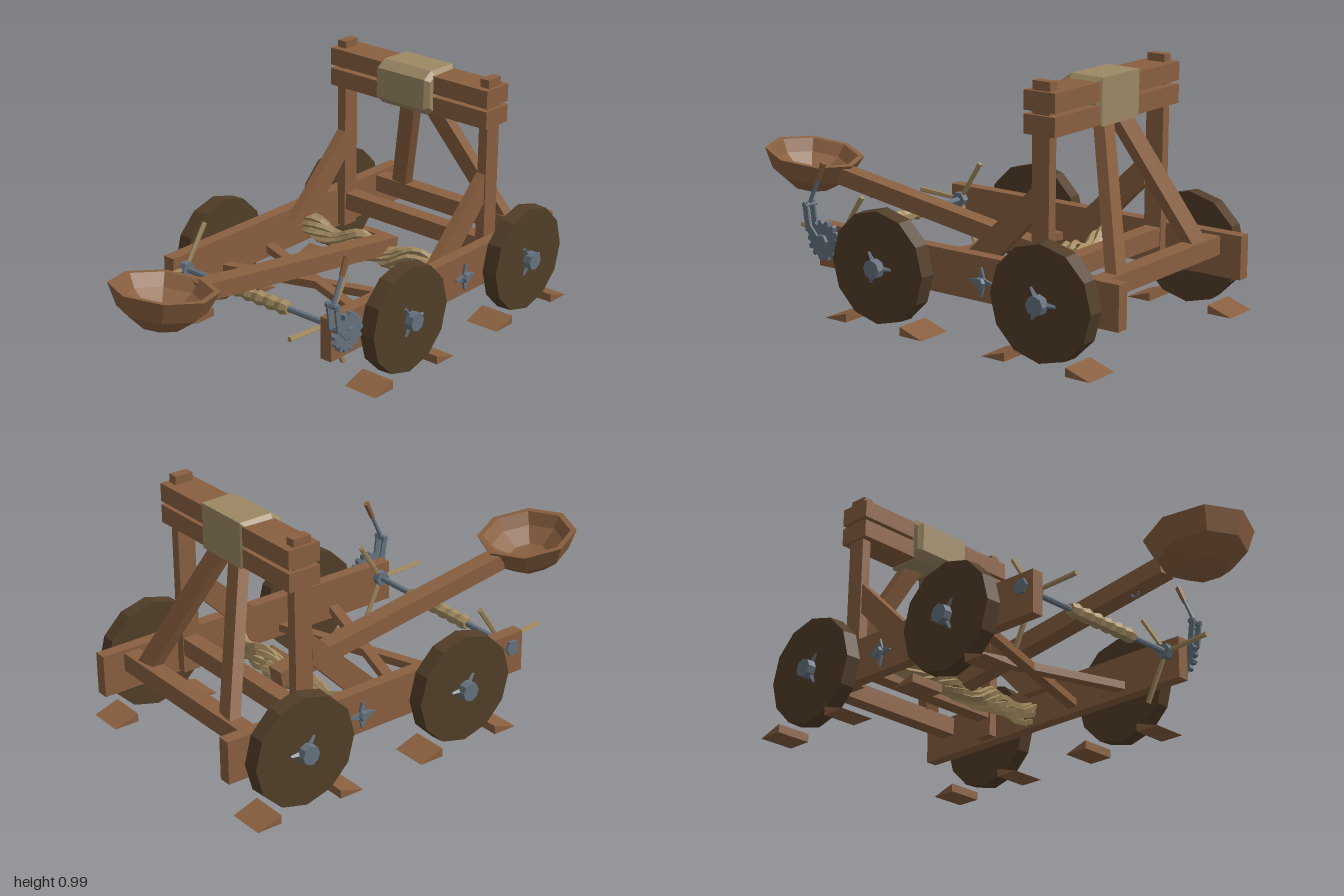
import * as THREE from 'three';

const paint = (name, color) => {
  const m = new THREE.MeshStandardMaterial({ color });
  m.name = name;
  return m;
};

export function createModel() {
  const root = new THREE.Group();
  root.name = 'catapult';
  const wood = paint('timber', 0x8a6040);
  const dark = paint('darkWheelWood', 0x523e29);
  const hide = paint('hidePadding', 0x9c8863);
  const ropeMat = paint('rope', 0xa38b60);
  const iron = paint('iron', 0x667380);
  const V = (x, y, z) => new THREE.Vector3(x, y, z);

  // Faceted mesh helper
  function add(name, geo, mat, parent = root) {
    const g = geo.index ? geo.toNonIndexed() : geo;
    g.computeVertexNormals();
    const mesh = new THREE.Mesh(g, mat);
    mesh.name = name;
    parent.add(mesh);
    return mesh;
  }
  function box(name, mat, x0, x1, y0, y1, z0, z1) {
    const m = add(name, new THREE.BoxGeometry(x1 - x0, y1 - y0, z1 - z0), mat);
    m.position.set((x0 + x1) / 2, (y0 + y1) / 2, (z0 + z1) / 2);
    return m;
  }
  // Square timber running from a to b
  function beam(name, mat, a, b, w, h, up = V(0, 1, 0)) {
    const m = add(name, new THREE.BoxGeometry(w, h, a.distanceTo(b)), mat);
    m.up.copy(up);
    m.position.copy(a).add(b).multiplyScalar(0.5);
    m.lookAt(b);
    return m;
  }
  // Tapered rod from a to b
  function rod(name, mat, a, b, r0, r1, sides = 6) {
    const m = add(name, new THREE.CylinderGeometry(r1, r0, a.distanceTo(b), sides), mat);
    m.position.copy(a).add(b).multiplyScalar(0.5);
    m.quaternion.setFromUnitVectors(V(0, 1, 0), b.clone().sub(a).normalize());
    return m;
  }
  // Side outline given as [z, y], extruded from x0 to x1
  function sidePlate(name, mat, pts, x0, x1, bevel = 0) {
    const shape = new THREE.Shape(pts.map(([z, y]) => new THREE.Vector2(-z, y)));
    const geo = new THREE.ExtrudeGeometry(shape, {
      depth: x1 - x0 - 2 * bevel, bevelEnabled: bevel > 0,
      bevelSize: bevel, bevelThickness: bevel, bevelSegments: 1,
    });
    geo.rotateY(Math.PI / 2);
    geo.translate(x0 + bevel, 0, 0);
    return add(name, geo, mat);
  }
  // Star or gear outline around (z, y)
  function toothed(z, y, teeth, rOut, rIn, tip) {
    const pts = [];
    for (let i = 0; i < teeth; i++) {
      for (const [f, r] of [[-0.5, rIn], [-tip, rOut], [tip, rOut]]) {
        const a = ((i + f) / teeth) * Math.PI * 2;
        pts.push([z + Math.cos(a) * r, y + Math.sin(a) * r]);
      }
    }
    return pts;
  }

  for (const s of [-1, 1]) {
    const side = s > 0 ? 'left' : 'right';
    const span = (a, b) => (s > 0 ? [a, b] : [-b, -a]);

    // Frame rail, upright and its sloping strut
    box(side + 'Rail', wood, ...span(0.382, 0.433), 0.16, 0.33, -1, 0.38);
    box(side + 'Upright', wood, ...span(0.345, 0.386), 0.17, 0.988, -0.668, -0.593);
    sidePlate(side + 'Strut', wood,
      [[-0.59, 0.6], [-0.59, 0.475], [-0.41, 0.29], [-0.27, 0.29]], ...span(0.343, 0.383));

    // Wheels with iron hubs, hub spikes and chocks
    for (const z of [0.02, -0.725]) {
      rod(side + 'Wheel', dark, V(s * 0.453, 0.23, z), V(s * 0.516, 0.23, z), 0.22, 0.217, 12);
      rod(side + 'Hub', iron, V(s * 0.42, 0.23, z), V(s * 0.55, 0.23, z), 0.041, 0.037, 8);
      for (let i = 0; i < 3; i++) {
        const a = 1 + (i * Math.PI * 2) / 3;
        rod(side + 'HubSpike', iron, V(s * 0.518, 0.23, z),
          V(s * 0.518, 0.23 + Math.sin(a) * 0.068, z + Math.cos(a) * 0.068), 0.016, 0.006, 4);
      }
      for (const d of [-1, 1]) {
        const pts = [[z + d * 0.235, 0], [z + d * 0.132, 0.034], [z + d * 0.132, 0]];
        // keeps each outline turning the same way
        sidePlate(side + 'Chock', wood, d > 0 ? pts : pts.reverse(), ...span(0.394, 0.543));
      }
    }

    // Iron star anchoring the twisted rope
    sidePlate(side + 'RopeStar', iron, toothed(-0.41, 0.235, 4, 0.055, 0.02, 0.03), ...span(0.432, 0.443));
    rod(side + 'RopeBoss', iron, V(s * 0.43, 0.235, -0.41), V(s * 0.458, 0.235, -0.41), 0.024, 0.018, 6);

    // Winch spokes and their hub plates
    for (const [dz, dy] of [[0.205, 0.012], [-0.105, 0.165], [-0.09, -0.187]]) {
      rod(side + 'WinchSpoke', ropeMat, V(s * 0.37, 0.275, 0.325),
        V(s * 0.366, 0.275 + dy, 0.325 + dz), 0.009, 0.011, 5);
    }
    rod(side + 'WinchPlate', iron, V(s * 0.352, 0.275, 0.325), V(s * 0.384, 0.275, 0.325), 0.032, 0.032, 6);

    // Rear leaning brace
    beam(side + 'RearBrace', wood, V(s * 0.04, 0.83, -0.655), V(s * 0.275, 0.28, -0.885),
      0.075, 0.045, V(0, 0, 1));
    // Crossed floor plank
    beam('crossPlank', wood, V(-0.385, 0.2, -0.04 - s * 0.13), V(0.385, 0.2, -0.04 + s * 0.13), 0.042, 0.032);
  }

  // Cross rails
  box('rearCrossRail', wood, -0.385, 0.385, 0.245, 0.318, -0.91, -0.842);
  box('middleCrossRail', wood, -0.385, 0.385, 0.245, 0.318, -0.665, -0.6);

  // Stop beams and hide pad
  box('upperStopBeam', wood, -0.4, 0.4, 0.884, 0.956, -0.7, -0.565).rotation.z = -0.006;
  box('lowerStopBeam', wood, -0.4, 0.4, 0.798, 0.87, -0.7, -0.565).rotation.z = -0.004;
  sidePlate('hidePad', hide,
    [[-0.688, 0.81], [-0.688, 0.952], [-0.575, 0.955], [-0.545, 0.935], [-0.543, 0.83], [-0.565, 0.81]],
    -0.136, 0.136, 0.018);

  // Throwing arm and bowl
  beam('throwingArm', wood, V(0, 0.232, -0.48), V(0, 0.402, 0.64), 0.074, 0.068);
  const profile = [[0, -0.15], [0.085, -0.145], [0.165, -0.085], [0.205, 0],
    [0.18, 0], [0.15, -0.05], [0.08, -0.1], [0, -0.11]];
  const bowl = add('bowl', new THREE.LatheGeometry(
    profile.map(([r, y]) => new THREE.Vector2(r, y)), 8), wood);
  bowl.position.set(0, 0.475, 0.795);
  bowl.rotation.x = -0.165;
  const hook = add('armHook', new THREE.TorusGeometry(0.016, 0.005, 4, 8), iron);
  hook.position.set(0, 0.345, 0.49);
  hook.rotation.y = Math.PI / 2;

  // Twisted rope bundle
  const strands = 8;
  for (let k = 0; k < strands; k++) {
    const pts = [];
    for (let i = 0; i <= 14; i++) {
      const t = i / 14;
      const a = (k / strands) * Math.PI * 2 + t * Math.PI * 2.4;
      const r = 0.034 + 0.012 * Math.sin(t * 19 + (k % 3));
      const sag = 0.228 - 0.02 * Math.sin(t * Math.PI) + 0.012 * Math.cos(t * 17);
      pts.push(V(-0.385 + 0.77 * t, sag + Math.sin(a) * r, -0.412 + Math.cos(a) * r));
    }
    add('ropeStrand', new THREE.TubeGeometry(new THREE.CatmullRomCurve3(pts), 22, 0.014, 4), ropeMat);
  }

  // Winch shaft with wound rope
  rod('winchShaft', iron, V(-0.435, 0.275, 0.325), V(0.475, 0.275, 0.325), 0.012, 0.012, 8);
  rod('winchEndCap', iron, V(-0.445, 0.275, 0.325), V(-0.43, 0.275, 0.325), 0.032, 0.032, 6);
  const coil = [[0, -0.178]];
  for (let i = 0; i <= 12; i++) coil.push([i % 2 ? 0.031 : 0.023, -0.176 + (i * 0.352) / 12]);
  coil.push([0, 0.178]);
  const wound = add('woundRope', new THREE.LatheGeometry(
    coil.map(([r, y]) => new THREE.Vector2(r, y)), 7), ropeMat);
  wound.rotation.z = Math.PI / 2;
  wound.position.set(0, 0.275, 0.325);

  // Ratchet gear, lever and grip
  sidePlate('ratchetGear', iron, toothed(0.325, 0.275, 14, 0.078, 0.062, 0.18), 0.452, 0.474);
  rod('gearCap', iron, V(0.432, 0.275, 0.325), V(0.488, 0.275, 0.325), 0.026, 0.026, 6);
  for (const x of [0.443, 0.482]) {
    beam('leverFork', iron, V(x, 0.265, 0.34), V(x, 0.32, 0.39), 0.009, 0.03);
    beam('leverFork', iron, V(x, 0.305, 0.39), V(x, 0.415, 0.405), 0.009, 0.024, V(0, 0, 1));
  }
  rod('leverBolt', iron, V(0.43, 0.405, 0.402), V(0.492, 0.405, 0.402), 0.012, 0.012, 6);
  rod('leverRod', iron, V(0.462, 0.4, 0.404), V(0.462, 0.52, 0.35), 0.009, 0.008, 6);
  rod('leverGrip', wood, V(0.462, 0.508, 0.355), V(0.462, 0.577, 0.325), 0.011, 0.014, 6);

  return root;
}
